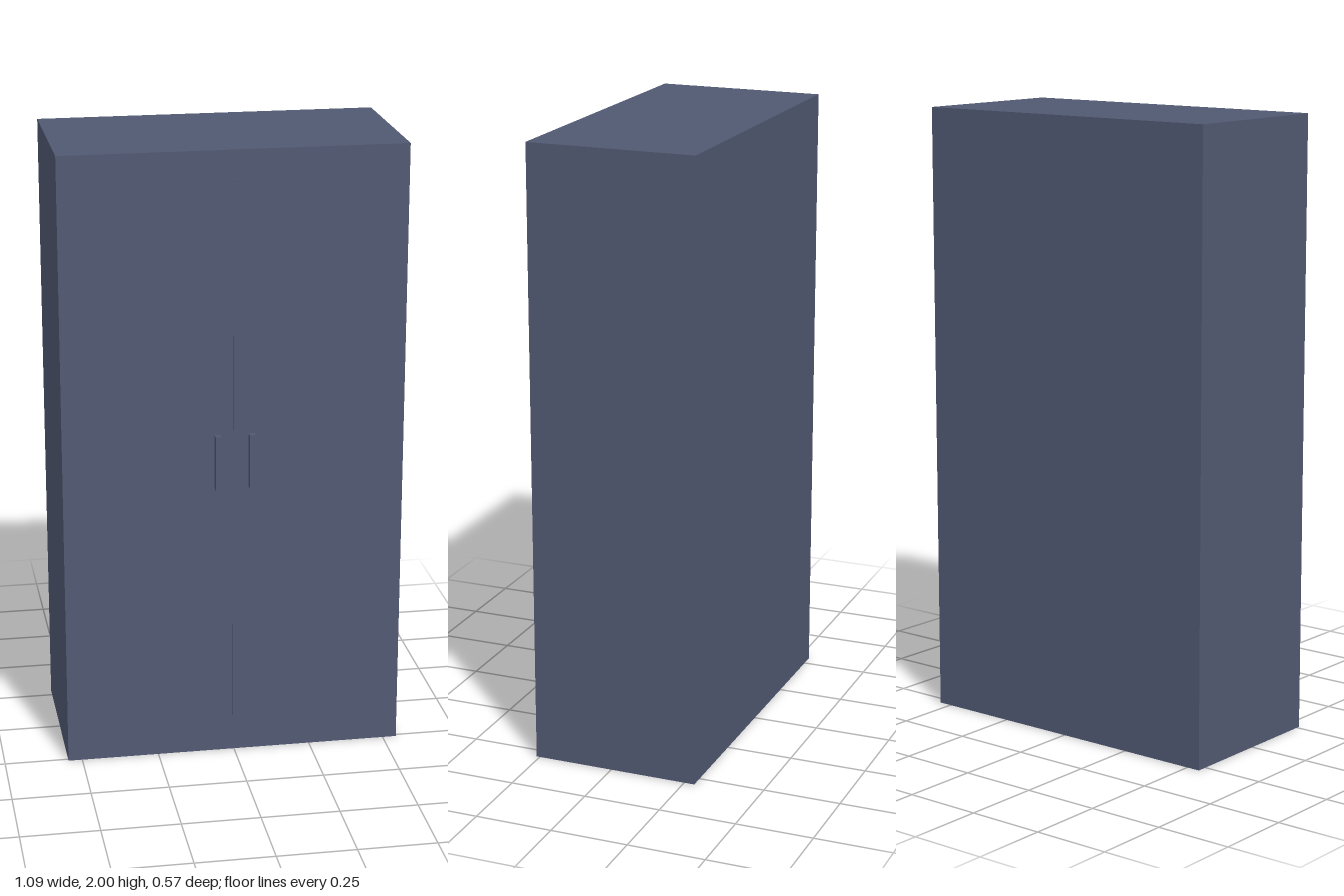
import * as THREE from 'three';

export function createModel() {
  const model = new THREE.Group();
  model.name = 'wardrobe';
  const slateBlue = new THREE.MeshStandardMaterial({ color: 0x515972 });
  slateBlue.name = 'slateBlue';

  function addBox(name, size, position) {
    const mesh = new THREE.Mesh(new THREE.BoxGeometry(...size), slateBlue);
    mesh.name = name;
    mesh.position.set(...position);
    model.add(mesh);
  }

  // Cabinet carcass
  addBox('cabinet', [1.09, 2, 0.545], [0, 1, -0.0115]);

  // Thin strip where the two doors meet
  addBox('doorSeam', [0.009, 1.82, 0.004], [0, 1, 0.262]);

  // Mirrored upright handles
  for (const [side, name] of [[1, 'leftHandle'], [-1, 'rightHandle']]) {
    addBox(name, [0.018, 0.178, 0.024], [side * 0.0545, 1.002, 0.272]);
  }

  return model;
}
